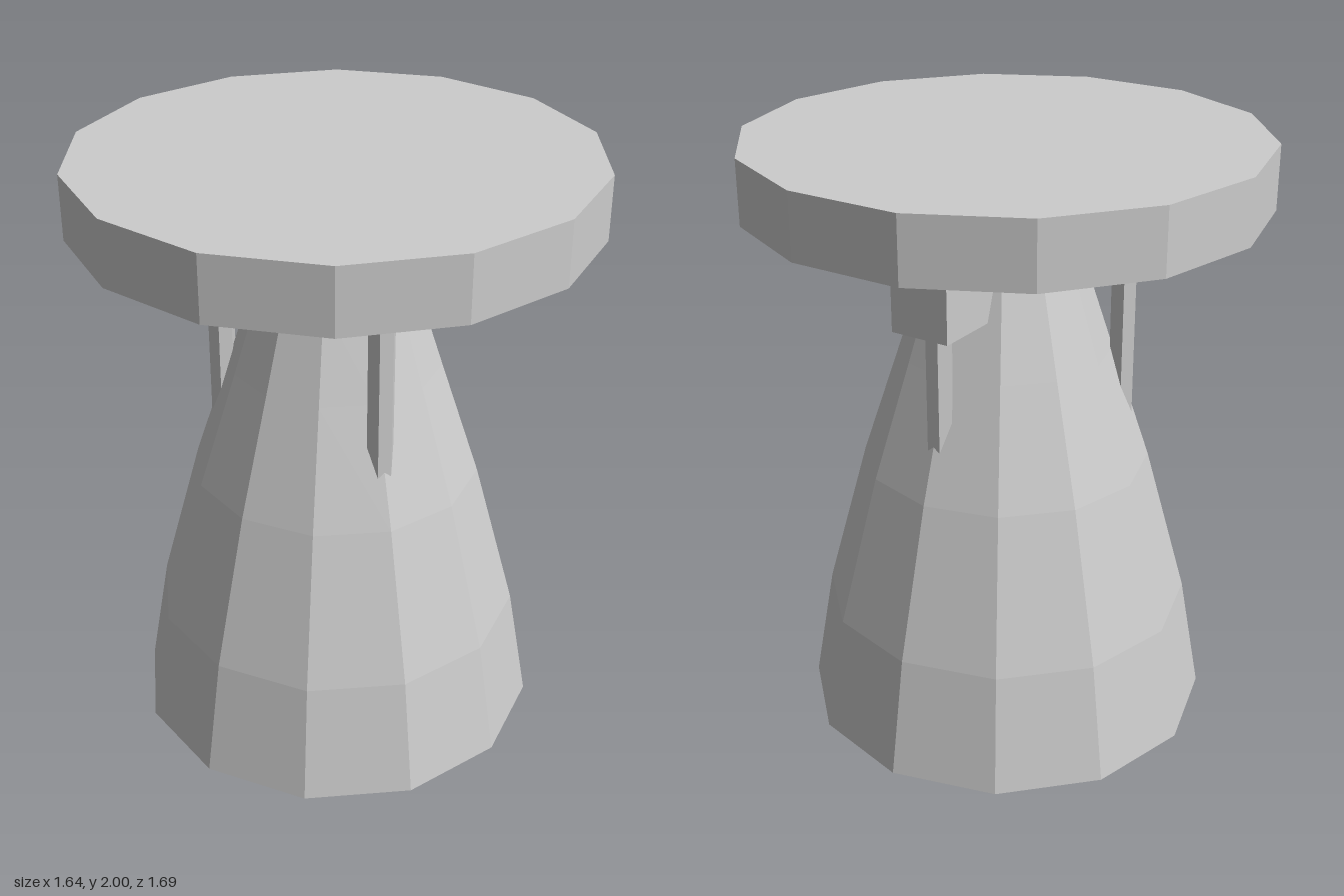
import * as THREE from 'three';

export function createModel() {
  const model = new THREE.Group();
  const grey = new THREE.MeshStandardMaterial({ color: 0xcccccc, flatShading: true, side: THREE.DoubleSide });
  grey.name = 'light grey';

  const add = (name, geometry, x = 0, y = 0, z = 0) => {
    const mesh = new THREE.Mesh(geometry, grey);
    mesh.name = name;
    mesh.position.set(x, y, z);
    model.add(mesh);
  };
  // Cylinder given by its bottom and top heights
  const drum = (name, radius, bottom, top, sides, x = 0, z = 0) =>
    add(name, new THREE.CylinderGeometry(radius, radius, top - bottom, sides), x, (bottom + top) / 2, z);

  // Wide mounting plate and the collar below it
  drum('mountingPlate', 0.843, 1.79, 2, 14);
  drum('collar', 0.347, 1.645, 1.79, 12);

  // Hollow nozzle bell, open at the bottom, with a short flare at the throat
  const profile = [[0.69, 0], [0.62, 0.4], [0.48, 0.91], [0.35, 1.3], [0.25, 1.605], [0.28, 1.645]];
  add('nozzleBell', new THREE.LatheGeometry(profile.map(([r, y]) => new THREE.Vector2(r, y)), 12));

  // Three hexagonal struts that sink into the bell
  for (let i = 0; i < 3; i++) {
    const a = (i * Math.PI * 2) / 3;
    drum('strut', 0.045, 1.05, 1.645, 6, 0.38 * Math.cos(a), 0.38 * Math.sin(a));
  }

  // Control box on the left side
  add('controlBox', new THREE.BoxGeometry(0.28, 0.24, 0.205), 0.34, 1.602, 0);

  return model;
}
